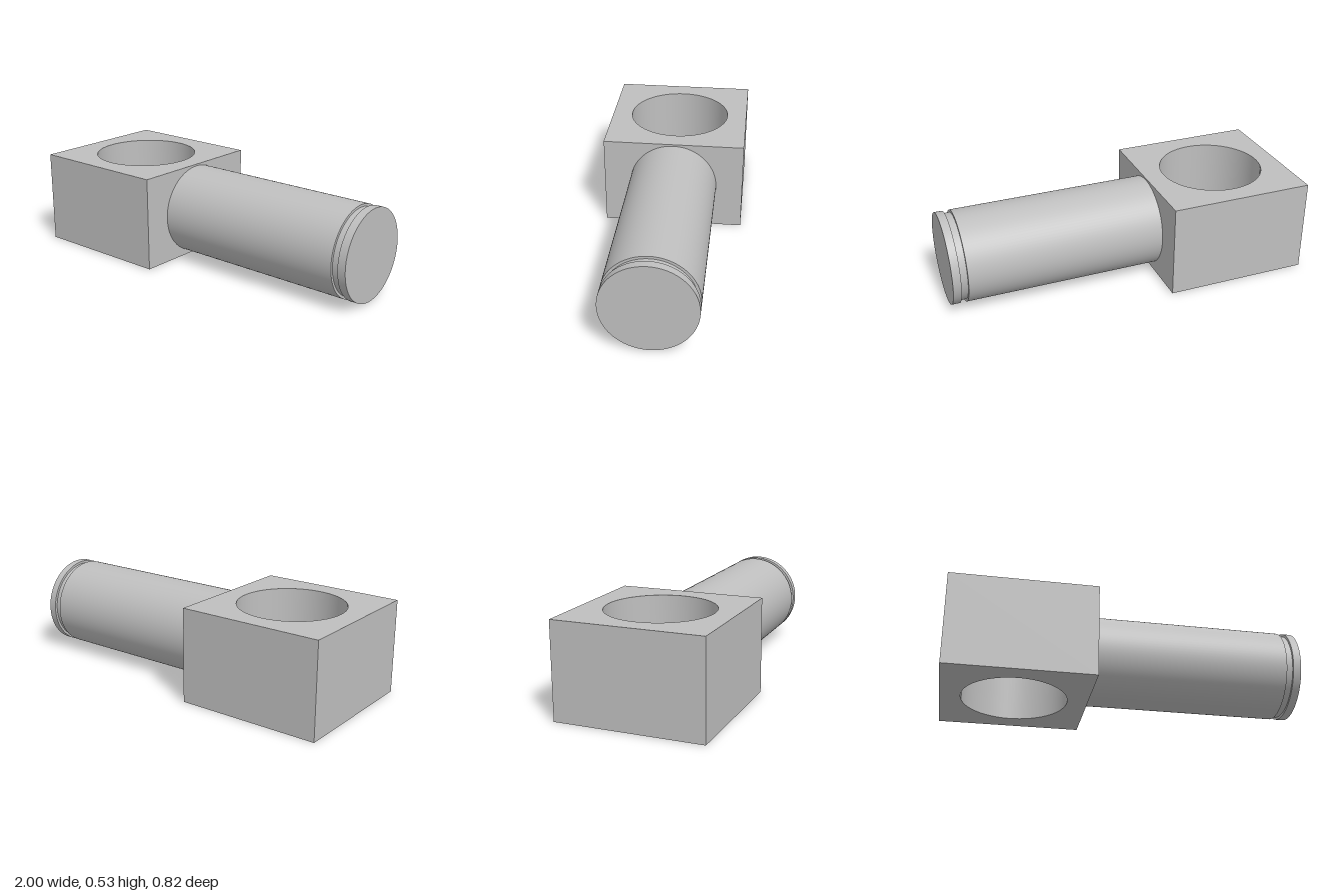
import * as THREE from 'three';
import { toCreasedNormals } from 'three/addons/utils/BufferGeometryUtils.js';

export function createModel() {
  const group = new THREE.Group();
  const metal = new THREE.MeshStandardMaterial({ color: 0xbfbfbf });
  metal.name = 'plain grey metal';

  const height = 0.528, halfDepth = 0.408;
  const left = -1, right = -0.187, middle = (left + right) / 2;

  const add = (name, geometry) => {
    const mesh = new THREE.Mesh(toCreasedNormals(geometry, 0.5), metal);
    mesh.name = name;
    group.add(mesh);
    return mesh;
  };

  // Square block with a vertical through hole
  const outline = new THREE.Shape();
  outline.moveTo(left, -halfDepth);
  outline.lineTo(right, -halfDepth);
  outline.lineTo(right, halfDepth);
  outline.lineTo(left, halfDepth);
  outline.closePath();
  const hole = new THREE.Path();
  hole.absarc(middle, 0, 0.293, 0, Math.PI * 2, true);
  outline.holes.push(hole);
  const block = new THREE.ExtrudeGeometry(outline, { depth: height, bevelEnabled: false, curveSegments: 48 });
  block.rotateX(-Math.PI / 2);
  add('boredBlock', block);

  // Round shaft with a retaining groove near its free end
  const radius = 0.254, grooveRadius = 0.24;
  const profile = [
    [radius, right],
    [radius, 0.917], [grooveRadius, 0.917],
    [grooveRadius, 0.955], [radius, 0.955],
    [radius, 1], [0, 1],
  ].map(([r, along]) => new THREE.Vector2(r, along));
  const shaft = new THREE.LatheGeometry(profile, 96);
  shaft.rotateZ(-Math.PI / 2);
  add('groovedShaft', shaft).position.y = height / 2;

  return group;
}
